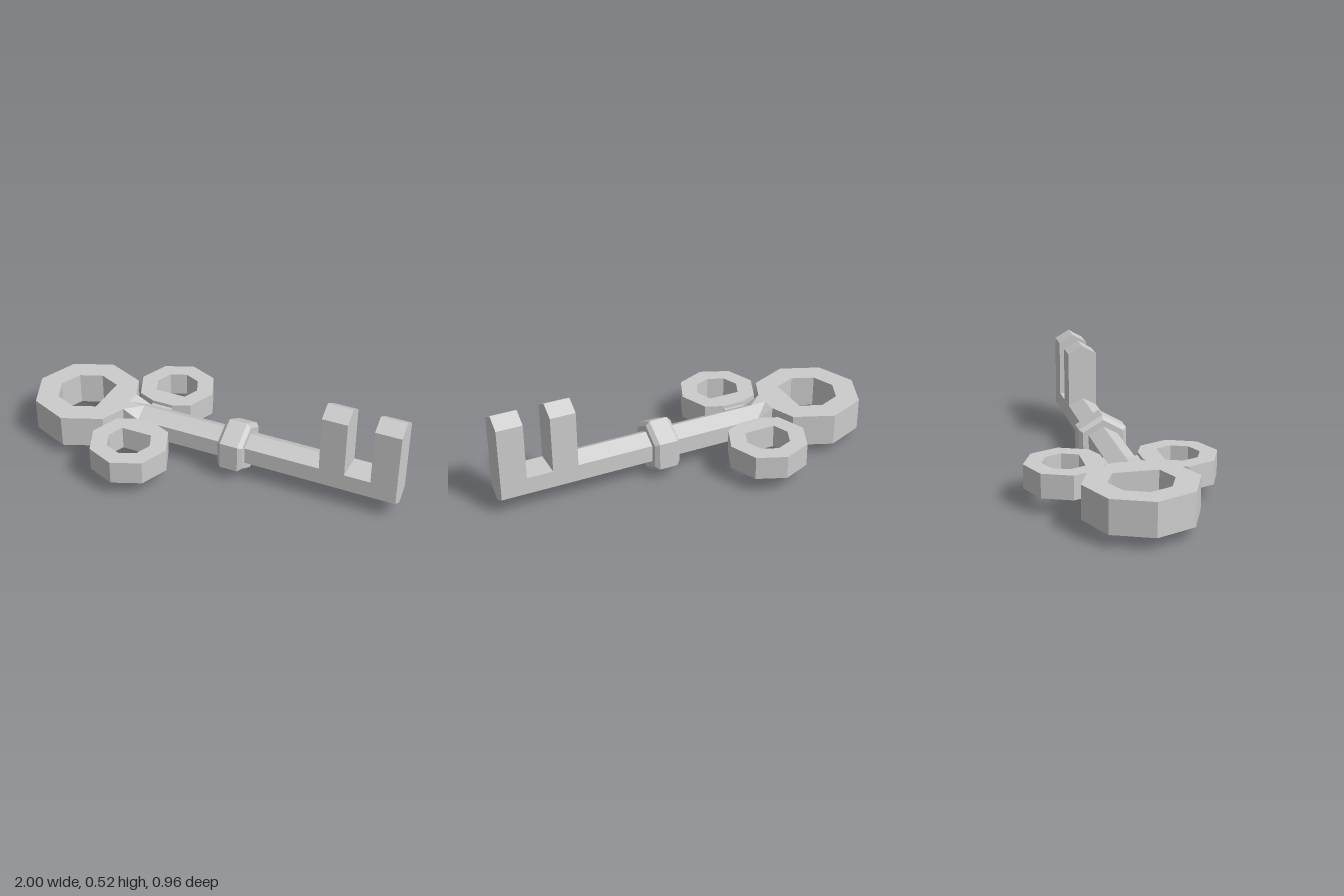
import * as THREE from 'three';

const AXIS_Y = 0.143; // height of the shaft's centre line
const material = new THREE.MeshStandardMaterial({
  color: 0xcccccc, flatShading: true, side: THREE.DoubleSide,
});

// Six-sided cross-section as [z, y]; top corners may be raised or flattened
function section(half, bottom, low, high, top) {
  return [[0, bottom], [half, low], [half, high], [0, top], [-half, high], [-half, low]];
}

function hexagon(r) {
  return section(r * 0.866, AXIS_Y - r, AXIS_Y - r / 2, AXIS_Y + r / 2, AXIS_Y + r);
}

// Skin a list of [x, section] stations along x and cap both ends
function loft(stations) {
  const rings = stations.map(([x, pts]) => pts.map(([z, y]) => new THREE.Vector3(x, y, z)));
  const positions = [];
  const tri = (a, b, c) => {
    const area = b.clone().sub(a).cross(c.clone().sub(a)).length();
    if (area > 1e-7) for (const p of [a, b, c]) positions.push(p.x, p.y, p.z);
  };
  const n = rings[0].length;
  for (let i = 0; i < rings.length - 1; i++) {
    for (let k = 0; k < n; k++) {
      const j = (k + 1) % n;
      const [a, b, c, d] = [rings[i][k], rings[i][j], rings[i + 1][j], rings[i + 1][k]];
      tri(a, d, c);
      tri(a, c, b);
    }
  }
  const first = rings[0], last = rings[rings.length - 1];
  for (let k = 1; k < n - 1; k++) {
    tri(first[0], first[k], first[k + 1]);
    tri(last[0], last[k + 1], last[k]);
  }
  const geometry = new THREE.BufferGeometry();
  geometry.setAttribute('position', new THREE.Float32BufferAttribute(positions, 3));
  geometry.computeVertexNormals();
  return geometry;
}

// Octagonal ring lying flat, its +x corner cut off at distance cut, hole flat on that side
function octagonRing(outer, inner, cut, height) {
  const corner = (r, k) => new THREE.Vector2(
    r * Math.cos(k * Math.PI / 4), r * Math.sin(k * Math.PI / 4));
  const sides = [1, 2, 3, 4, 5, 6, 7];
  const w = (outer - cut) * 2.414;
  const shape = new THREE.Shape([
    new THREE.Vector2(cut, w),
    ...sides.map((k) => corner(outer, k)),
    new THREE.Vector2(cut, -w),
  ]);
  shape.holes.push(new THREE.Path(sides.map((k) => corner(inner, k))));
  const geometry = new THREE.ExtrudeGeometry(shape, { depth: height, bevelEnabled: false });
  return geometry.translate(0, 0, -height / 2).rotateX(-Math.PI / 2);
}

export function createModel() {
  const key = new THREE.Group();
  key.name = 'key';
  const add = (name, geometry, x = 0, y = 0, z = 0) => {
    const mesh = new THREE.Mesh(geometry, material);
    mesh.name = name;
    mesh.position.set(x, y, z);
    key.add(mesh);
    return mesh;
  };

  // Shaft: square root at the bow, hexagonal rod, two upright teeth at the tip
  const root = section(0.075, 0.062, 0.062, 0.23, 0.23);
  const rod = section(0.076, 0.056, 0.1, 0.188, 0.23);
  const gap = section(0.076, 0.056, 0.1, 0.188, 0.188);
  const tooth = section(0.076, 0.056, 0.1, 0.481, 0.525);
  add('shaftAndTeeth', loft([
    [-0.47, root], [-0.385, rod],
    [0.605, rod], [0.605, tooth], [0.735, tooth],
    [0.735, gap], [0.868, gap], [0.868, tooth], [1, tooth],
  ]));

  // Collar with chamfered ends
  const rim = hexagon(0.121), band = hexagon(0.143);
  add('collar', loft([[0.078, rim], [0.098, band], [0.192, band], [0.212, rim]]));

  // Bow: one large ring at the end, two smaller ones beside the shaft
  add('largeRing', octagonRing(0.28, 0.158, 0.25, 0.168), -0.72, 0.146, 0);
  for (const [side, s] of [['left', 1], ['right', -1]].map(([n, v]) => [n, -v])) {
    const ring = add(side + 'SmallRing', octagonRing(0.205, 0.115, 0.182, 0.122),
      -0.33, 0.144, s * 0.275);
    ring.rotation.y = s * Math.PI / 2;
    add(side + 'RingLink', new THREE.BoxGeometry(0.112, 0.088, 0.04), -0.33, 0.144, s * 0.08);
  }
  return key;
}
